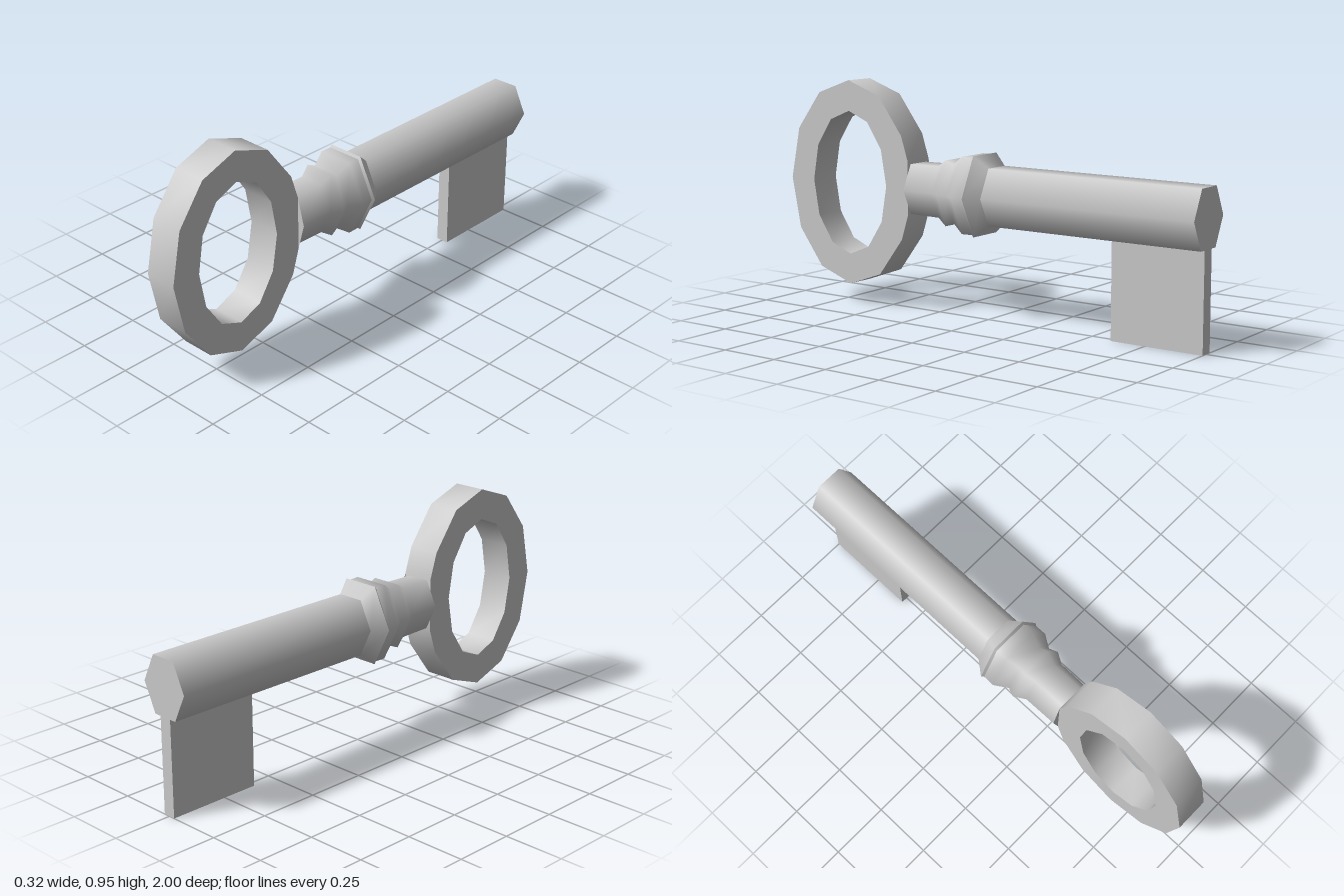
import * as THREE from 'three';
import { toCreasedNormals } from 'three/addons/utils/BufferGeometryUtils.js';

const AXIS_Y = 0.513; // height of the shaft axis

export function createModel() {
  const group = new THREE.Group();
  const material = new THREE.MeshStandardMaterial({ color: 0xcccccc });

  const add = (name, geometry) => {
    const mesh = new THREE.Mesh(geometry, material);
    mesh.name = name;
    group.add(mesh);
    return mesh;
  };

  // Six-sided turned part along z, slightly taller than wide; profile is [radius, z]
  const turned = (name, profile) => {
    const points = profile.map(([r, z]) => new THREE.Vector2(r, z));
    const geometry = new THREE.LatheGeometry(points, 6, Math.PI / 2);
    geometry.rotateX(Math.PI / 2).scale(1, 1.2, 1).translate(0, AXIS_Y, 0);
    return add(name, geometry);
  };

  // Shaft, collar and neck, split where the edges are sharp
  turned('shaftEnd', [[0, -1], [0.112, -1]]);
  turned('shaft', [[0.112, -1], [0.112, -0.04]]);
  turned('collarFlare', [[0.112, -0.04], [0.158, 0.018]]);
  turned('collarLip', [[0.158, 0.018], [0.15, 0.028]]);
  turned('neck', [
    [0.15, 0.028], [0.151, 0.078], [0.116, 0.132],
    [0.13, 0.168], [0.102, 0.215], [0.1, 0.36],
  ]);

  // Oval twelve-sided bow, flattened where it meets the neck
  const oval = (rz, ry) => Array.from({ length: 12 }, (_, i) => {
    const a = (i * Math.PI) / 6;
    return new THREE.Vector2(0.675 + rz * Math.cos(a), 0.516 + ry * Math.sin(a));
  });
  const outer = oval(0.325, 0.434);
  outer.splice(6, 1, new THREE.Vector2(0.36, 0.63), new THREE.Vector2(0.36, 0.405));
  const bowShape = new THREE.Shape(outer);
  bowShape.holes.push(new THREE.Path(oval(0.2, 0.305)));
  const bow = new THREE.ExtrudeGeometry(bowShape, { depth: 0.14, bevelEnabled: false });
  bow.rotateY(-Math.PI / 2).translate(0.07, 0, 0);
  add('bow', toCreasedNormals(bow, 0.8));

  // Small wedges blending the neck into both faces of the bow
  for (const side of [1, -1]) {
    const peak = [side * 0.1, AXIS_Y, 0.36];
    const tip = [side * 0.07, AXIS_Y, 0.465];
    const top = [side * 0.07, 0.63, 0.36];
    const bottom = [side * 0.07, 0.405, 0.36];
    const faces = [[peak, top, tip], [peak, tip, bottom], [peak, bottom, top]];
    const corners = faces.flatMap(([a, b, c]) => (side > 0 ? [a, c, b] : [a, b, c]));
    const wedge = new THREE.BufferGeometry();
    wedge.setAttribute('position', new THREE.Float32BufferAttribute(corners.flat(), 3));
    wedge.computeVertexNormals();
    add(side > 0 ? 'leftWedge' : 'rightWedge', wedge);
  }

  // Plain rectangular bit under the end of the shaft
  const bit = add('bit', new THREE.BoxGeometry(0.054, 0.45, 0.4));
  bit.position.set(0, 0.225, -0.8);

  return group;
}
